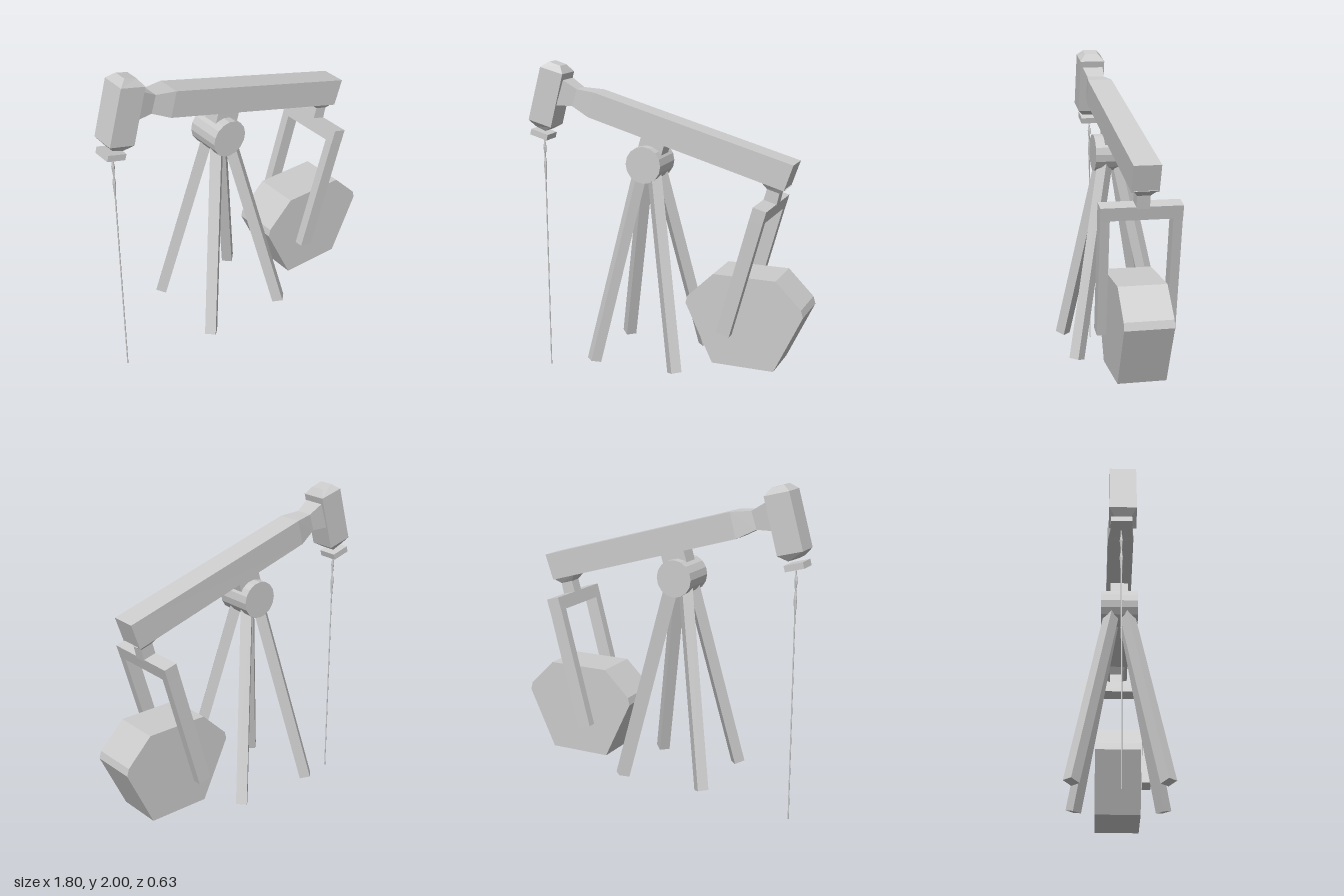
import * as THREE from 'three';

const grey = new THREE.MeshStandardMaterial({ color: 0xcccccc, flatShading: true });

function add(parent, name, geometry) {
  const mesh = new THREE.Mesh(geometry, grey);
  mesh.name = name;
  parent.add(mesh);
  return mesh;
}

// Lofts rectangular sections [ax, ay, bx, by, halfWidth, zCentre];
// a lies left of the direction of travel, b right of it.
function loft(sections) {
  const pos = [];
  const quad = (a, b, c, d) => pos.push(...a, ...b, ...c, ...a, ...c, ...d);
  const rings = sections.map(([ax, ay, bx, by, w, z = 0]) => [
    [ax, ay, z + w], [bx, by, z + w], [bx, by, z - w], [ax, ay, z - w],
  ]);
  for (let i = 0; i < rings.length - 1; i++) {
    for (let j = 0; j < 4; j++) {
      const k = (j + 1) % 4;
      quad(rings[i][j], rings[i][k], rings[i + 1][k], rings[i + 1][j]);
    }
  }
  quad(...[...rings[0]].reverse());
  quad(...rings[rings.length - 1]);
  const g = new THREE.BufferGeometry();
  g.setAttribute('position', new THREE.Float32BufferAttribute(pos, 3));
  g.computeVertexNormals();
  return g;
}

export function createModel() {
  const model = new THREE.Group();
  model.name = 'pumpJack';

  // Walking beam with its pinched neck
  add(model, 'walkingBeam', loft([
    [-0.655, 1.895, -0.705, 1.74, 0.066, 0.008],
    [-0.572, 1.843, -0.605, 1.738, 0.053, 0.006],
    [-0.45, 1.832, -0.49, 1.68, 0.076, 0.002],
    [0.795, 1.483, 0.742, 1.328, 0.078, -0.012],
  ]));

  // Hammer head with bevelled ends
  add(model, 'head', loft([
    [-0.757, 2.0, -0.683, 1.978, 0.043, 0.01],
    [-0.802, 1.97, -0.652, 1.932, 0.078, 0.009],
    [-0.894, 1.642, -0.741, 1.602, 0.078, 0.009],
    [-0.862, 1.598, -0.796, 1.572, 0.045, 0.009],
  ].map(([ax, ay, bx, by, w, z]) => [bx, by, ax, ay, w, z])));

  const hanger = add(model, 'cableHanger', new THREE.BoxGeometry(0.118, 0.037, 0.12));
  hanger.position.set(-0.84, 1.547, 0);
  hanger.rotation.z = -0.27;

  // Cable with two spindle-shaped swellings
  const cableProfile = [[0, 0], [0.004, 0], [0.004, 1.24], [0.01, 1.35], [0.004, 1.4],
    [0.01, 1.46], [0.004, 1.5], [0.004, 1.53]].map(([r, y]) => new THREE.Vector2(r, y));
  add(model, 'cable', new THREE.LatheGeometry(cableProfile, 6)).position.x = -0.833;

  // Pivot bearing and the bracket up to the beam
  const pivot = add(model, 'pivotBearing', new THREE.CylinderGeometry(0.112, 0.112, 0.225, 16));
  pivot.rotation.x = Math.PI / 2;
  pivot.position.set(-0.115, 1.42, 0);
  add(model, 'pivotBracket', loft([
    [0.01, 1.58, -0.14, 1.62, 0.055],
    [-0.04, 1.41, -0.19, 1.45, 0.055],
  ]));

  // Four splayed legs, set on the diagonals
  const top = new THREE.Vector2(0.05, 1.42);
  const foot = new THREE.Vector2(0.378, 0.2);
  const tilt = Math.atan2(foot.x - top.x, top.y - foot.y);
  for (let i = 0; i < 4; i++) {
    const leg = new THREE.Group();
    leg.name = 'leg' + (i + 1);
    leg.position.x = -0.115;
    leg.rotation.y = Math.PI / 4 + i * Math.PI / 2;
    const beam = add(leg, 'legBeam', new THREE.BoxGeometry(0.066, top.distanceTo(foot), 0.066));
    beam.position.set(0, (top.y + foot.y) / 2, (top.x + foot.x) / 2);
    beam.rotation.x = -tilt;
    model.add(leg);
  }

  // Fork hanging from the beam's tail: neck, crossbar and two arms
  const fork = new THREE.Group();
  fork.name = 'fork';
  model.add(fork);
  add(fork, 'forkNeck', loft([
    [0.752, 1.335, 0.598, 1.372, 0.066, -0.012],
    [0.706, 1.303, 0.63, 1.324, 0.038, -0.012],
    [0.688, 1.225, 0.608, 1.247, 0.038, -0.012],
  ]));
  add(fork, 'forkCrossbar', loft([
    [0.69, 1.237, 0.61, 1.258, 0.234, -0.009],
    [0.668, 1.16, 0.588, 1.181, 0.234, -0.01],
  ]));
  for (const [name, zTop, zEnd] of [['frontArm', 0.196, 0.178], ['backArm', -0.216, -0.234]]) {
    add(fork, name, loft([
      [0.669, 1.165, 0.589, 1.186, 0.027, zTop],
      [0.472, 0.448, 0.39, 0.469, 0.027, zEnd],
    ]));
  }

  // Faceted counterweight
  const outline = [[0.73, 0.807], [0.345, 0.807], [0.183, 0.65], [0.172, 0.605],
    [0.345, 0.245], [0.73, 0.245], [0.9, 0.605], [0.887, 0.65]];
  const weight = add(model, 'counterweight', new THREE.ExtrudeGeometry(
    new THREE.Shape(outline.map(([x, y]) => new THREE.Vector2(x, y))),
    { depth: 0.282, bevelEnabled: false }));
  weight.position.z = -0.143;

  return model;
}
